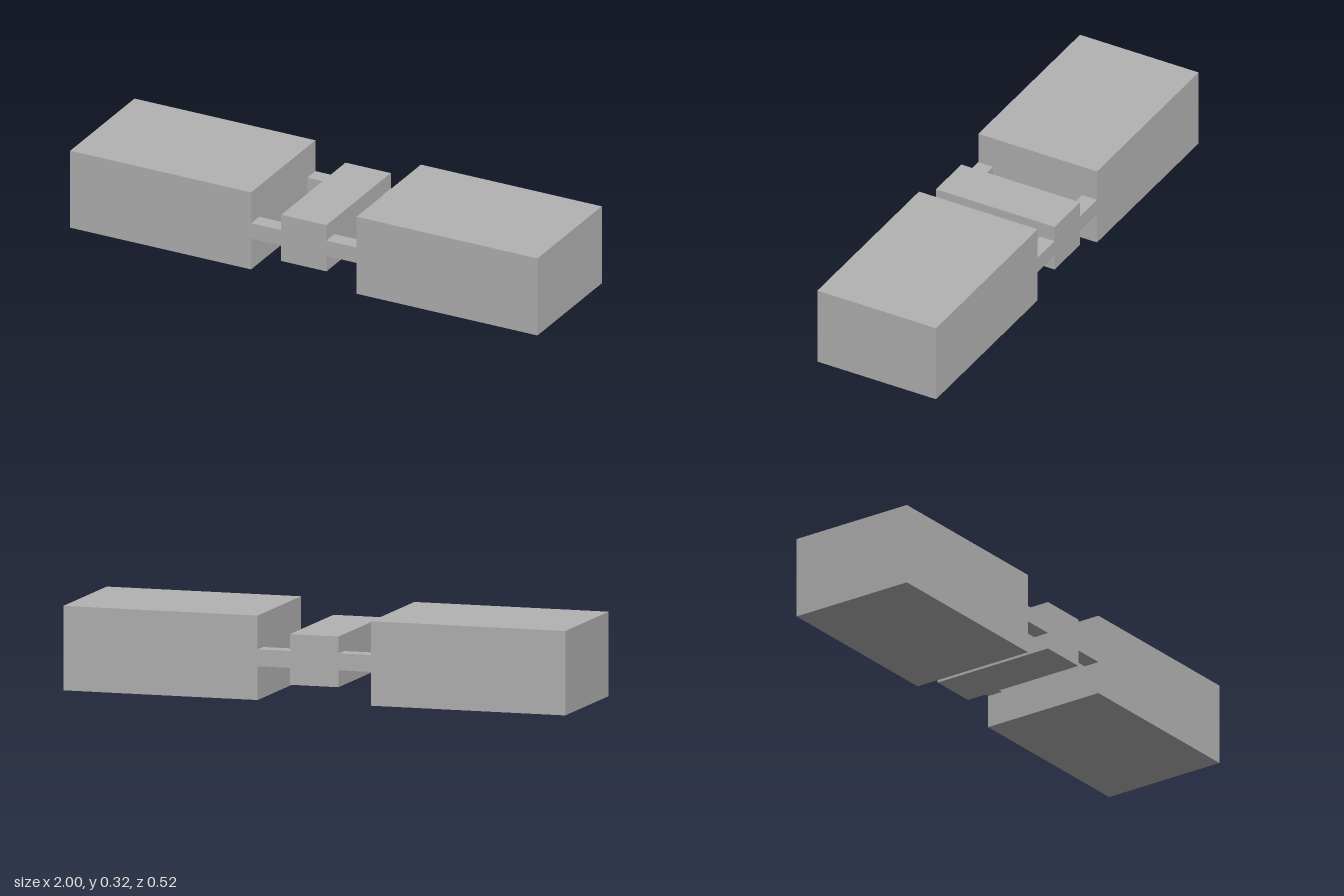
import * as THREE from 'three';

// Everything sits on a grid of 31 units along x
const U = 2 / 31;

export function createModel() {
  const model = new THREE.Group();
  model.name = 'linkedBlocks';
  const grey = new THREE.MeshStandardMaterial({ color: 0xb2b2b2 });
  grey.name = 'grey';

  // Box with size and centre in grid units, centred at half the model's height
  function addBox(name, w, h, d, x, z = 0) {
    const mesh = new THREE.Mesh(new THREE.BoxGeometry(w * U, h * U, d * U), grey);
    mesh.name = name;
    mesh.position.set(x * U, 2.5 * U, z * U);
    model.add(mesh);
  }

  // Middle bar
  addBox('centreBar', 3, 3, 8, 0);

  for (const [side, s] of [['left', 1], ['right', -1]]) {
    // Large end block
    addBox(side + 'Block', 12, 5, 8, s * 9.5);
    // Thin links joining the block to the bar at front and back
    addBox(side + 'FrontLink', 2, 1, 1, s * 2.5, 3.5);
    addBox(side + 'BackLink', 2, 1, 1, s * 2.5, -3.5);
  }
  return model;
}
